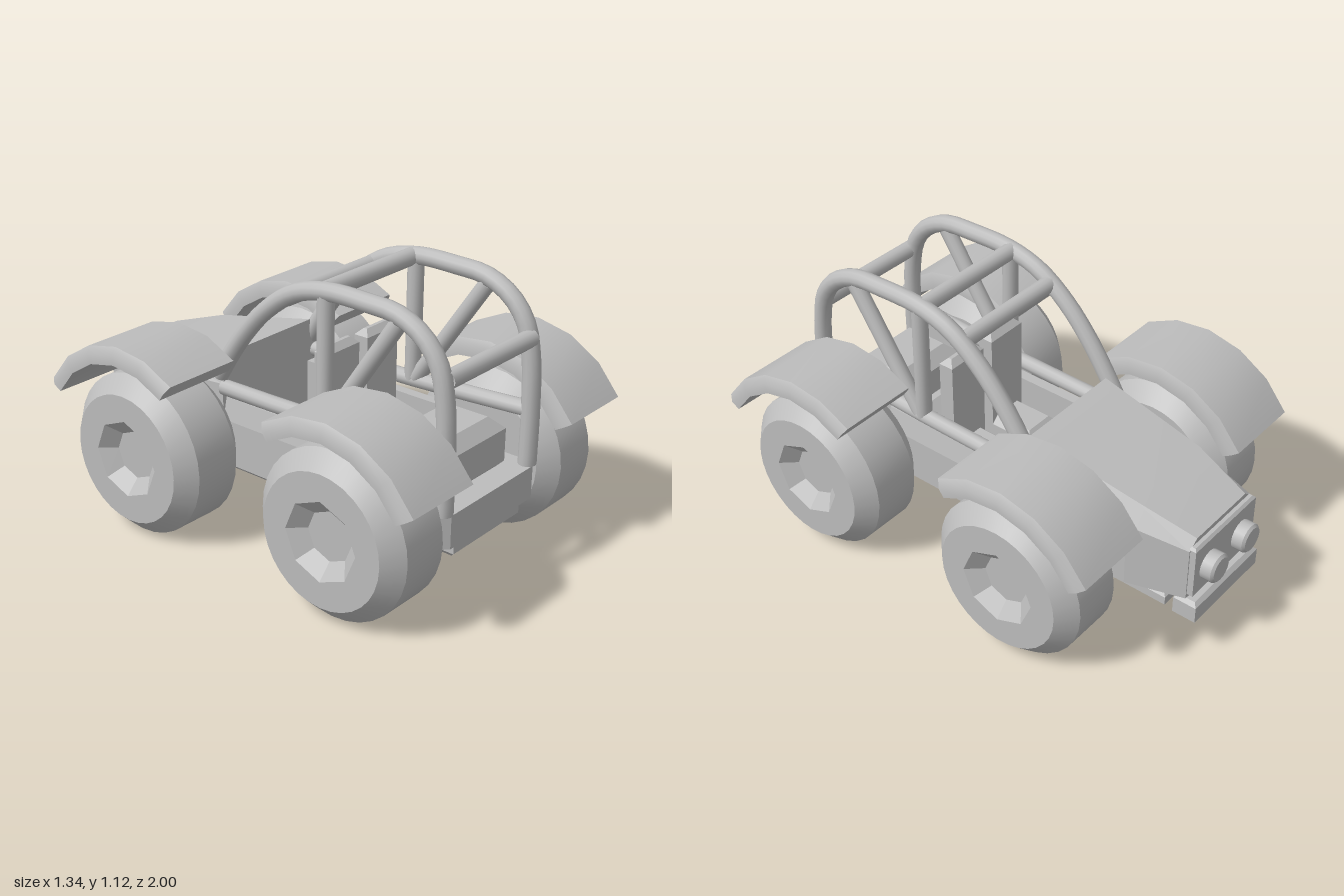
import * as THREE from 'three';
import { toCreasedNormals } from 'three/addons/utils/BufferGeometryUtils.js';

const bodyGrey = new THREE.MeshStandardMaterial({ color: 0xbcbcbc, side: THREE.DoubleSide });
bodyGrey.name = 'bodyGrey';

export function createModel() {
  const model = new THREE.Group();
  model.name = 'buggy';

  const add = (name, geo, parent = model, crease = 0.6) => {
    const mesh = new THREE.Mesh(toCreasedNormals(geo, crease), bodyGrey);
    mesh.name = name;
    parent.add(mesh);
    return mesh;
  };
  const shapeOf = (pts) => new THREE.Shape(pts.map(([x, y]) => new THREE.Vector2(x, y)));

  // Box with chamfered edges, placed by its limits
  const chamferBox = (name, [x0, x1], [y0, y1], [z0, z1], c) => {
    const a = (x1 - x0) / 2 - c, b = (z1 - z0) / 2 - c;
    const geo = new THREE.ExtrudeGeometry(shapeOf([[-a, -b], [a, -b], [a, b], [-a, b]]), {
      depth: y1 - y0 - 2 * c, bevelEnabled: true, bevelSize: c, bevelThickness: c, bevelSegments: 1,
    });
    geo.rotateX(-Math.PI / 2).translate((x0 + x1) / 2, y0 + c, (z0 + z1) / 2);
    return add(name, geo, model, 0.3);
  };
  // Box with chamfered upright corners only
  const cornerBox = (name, w, [y0, y1], [z0, z1], c) => {
    const pts = [[-w + c, z0], [w - c, z0], [w, z0 + c], [w, z1 - c], [w - c, z1], [-w + c, z1], [-w, z1 - c], [-w, z0 + c]];
    const geo = new THREE.ExtrudeGeometry(shapeOf(pts.map(([x, z]) => [x, -z])), { depth: y1 - y0, bevelEnabled: false });
    return add(name, geo.rotateX(-Math.PI / 2).translate(0, y0, 0), model, 0.3);
  };
  const tube = (name, pts, radius = 0.035, segments = 1) => {
    const curve = new THREE.CatmullRomCurve3(pts.map((p) => new THREE.Vector3(...p)), false, 'centripetal');
    return add(name, new THREE.TubeGeometry(curve, segments, radius, 12), model, 0.9);
  };

  // Chassis plate, tub floor, rear deck and engine
  chamferBox('chassisPlate', [-0.21, 0.21], [0.165, 0.25], [-0.835, 0.86], 0.025);
  add('tubFloor', new THREE.BoxGeometry(0.56, 0.05, 0.72).translate(0, 0.265, 0.14));
  cornerBox('rearDeck', 0.29, [0.24, 0.375], [0.47, 0.88], 0.03);
  const firewall = new THREE.ExtrudeGeometry(shapeOf([[-0.26, 0.26], [-0.5, 0.26], [-0.5, 0.43], [-0.47, 0.43]]), {
    depth: 0.45, bevelEnabled: false,
  });
  add('firewall', firewall.rotateY(Math.PI / 2).translate(-0.225, 0, 0), model, 0.3);

  const engine = chamferBox('engine', [-0.185, 0.185], [0.35, 0.585], [0.51, 0.8], 0.05);
  engine.geometry.computeBoundingBox();

  // Cockpit side walls
  for (const s of [-1, 1]) {
    const wall = new THREE.ExtrudeGeometry(
      shapeOf([[0.22, 0.24], [0.285, 0.24], [0.285, 0.43], [0.265, 0.52], [0.22, 0.52]].map(([x, y]) => [s * x, y])),
      { depth: 0.74, bevelEnabled: false });
    add('cockpitWall', wall.translate(0, 0, -0.25), model, 0.2);
  }

  // Bonnet lofted through six-sided sections: z, side half width, top half width, bottom, shoulder, top
  const sections = [
    [-0.21, 0.285, 0.235, 0.24, 0.58, 0.7],
    [-0.68, 0.26, 0.205, 0.25, 0.53, 0.61],
    [-0.92, 0.205, 0.16, 0.27, 0.5, 0.535],
  ];
  const pos = [], index = [];
  for (const [z, b, t, y0, y1, y2] of sections) {
    for (const [x, y] of [[b, y0], [b, y1], [t, y2], [-t, y2], [-b, y1], [-b, y0]]) pos.push(x, y, z);
  }
  for (let i = 0; i < 2; i++) {
    for (let j = 0; j < 6; j++) {
      const a = i * 6 + j, b = i * 6 + (j + 1) % 6;
      index.push(a, a + 6, b, b, a + 6, b + 6);
    }
  }
  for (let j = 1; j < 5; j++) index.push(0, j, j + 1, 12, 13 + j, 12 + j);
  const bonnet = new THREE.BufferGeometry();
  bonnet.setAttribute('position', new THREE.Float32BufferAttribute(pos, 3));
  bonnet.setIndex(index);
  add('bonnet', bonnet, model, 0.15);

  // Nose plate, headlights and front bumper
  chamferBox('nosePlate', [-0.2, 0.2], [0.28, 0.515], [-0.945, -0.91], 0.01);
  for (const s of [-1, 1]) {
    const lamp = new THREE.LatheGeometry(
      [[0, 0], [0.06, 0], [0.06, 0.055], [0.05, 0.065], [0, 0.065]].map((p) => new THREE.Vector2(...p)), 16);
    add('headlight', lamp.rotateX(-Math.PI / 2).translate(s * 0.105, 0.39, -0.935));
  }
  chamferBox('frontBumper', [-0.21, 0.21], [0.165, 0.265], [-0.97, -0.87], 0.015);

  // Seats
  for (const s of [-1, 1]) {
    const span = s > 0 ? [0.025, 0.21] : [-0.21, -0.025];
    chamferBox('seatCushion', span, [0.28, 0.43], [0, 0.23], 0.03);
    chamferBox('seatBack', span, [0.3, 0.828], [0.197, 0.262], 0.025);
  }

  // Roll cage
  const hoop = [[0.375, 0.85], [0.6, 0.85], [0.8, 0.84], [0.93, 0.81], [1.02, 0.74], [1.075, 0.63], [1.085, 0.5],
    [1.082, 0.3], [1.04, 0.15], [0.94, 0.01], [0.82, -0.1], [0.7, -0.185], [0.61, -0.24]];
  for (const s of [-1, 1]) {
    const x = s * 0.267;
    tube('cageHoop', hoop.map(([y, z]) => [x, y, z]), 0.036, 40);
    tube('cageLowerRail', [[x, 0.6, 0.85], [x, 0.57, 0.32], [x, 0.56, -0.22]], 0.032, 4);
    tube('cagePost', [[x, 0.57, 0.3], [x, 1.08, 0.3]], 0.033);
    tube('cageBrace', [[x, 1.05, 0.635], [x, 0.58, 0.32]], 0.033);
  }
  for (const [y, z] of [[0.885, 0.838], [1.08, 0.29], [1.005, 0.095]]) {
    tube('cageCrossBar', [[-0.26, y, z], [0.26, y, z]]);
  }

  // Wheel with a chamfered tyre and an octagonal hub recess, outer face towards +x
  const lathe = (pts, seg, start = 0, len = Math.PI * 2) =>
    new THREE.LatheGeometry(pts.map((p) => new THREE.Vector2(...p)), seg, start, len).rotateZ(-Math.PI / 2);
  const makeWheel = () => {
    const wheel = new THREE.Group();
    wheel.name = 'wheel';
    add('tyre', lathe([[0, 0.31], [0.265, 0.31], [0.332, 0.38], [0.332, 0.58], [0.265, 0.65]], 32), wheel);
    const face = new THREE.Shape().absarc(0, 0, 0.265, 0, Math.PI * 2);
    const octagon = [...Array(8).keys()].map((i) =>
      new THREE.Vector2(0.16 * Math.cos(i * Math.PI / 4), 0.16 * Math.sin(i * Math.PI / 4)));
    face.holes.push(new THREE.Path(octagon));
    add('tyreFace', new THREE.ShapeGeometry(face, 16).rotateY(Math.PI / 2).translate(0.65, 0, 0), wheel);
    add('hub', lathe([[0.16, 0.65], [0.1, 0.595], [0, 0.595]], 8), wheel, 0.3);
    return wheel;
  };

  // Fender arched over the wheel; angles in degrees from the top towards +z
  const profile = [[0.395, 0.3], [0.435, 0.3], [0.465, 0.315], [0.465, 0.65], [0.435, 0.67], [0.395, 0.67]];
  const makeFender = (from, to) => {
    const fender = new THREE.Group();
    fender.name = 'fender';
    const [p0, p1] = [from, to].map((a) => THREE.MathUtils.degToRad(a - 90));
    add('fenderArch', lathe([...profile, profile[0]], 5, p0, p1 - p0), fender);
    for (const p of [p0, p1]) {
      const cap = new THREE.ShapeGeometry(shapeOf(profile)).rotateY(p - Math.PI / 2).rotateZ(-Math.PI / 2);
      add('fenderEnd', cap, fender);
    }
    return fender;
  };

  // Four corners; the right side is turned half round
  for (const z of [0.6, -0.387]) {
    for (const s of [-1, 1]) {
      const corner = new THREE.Group();
      corner.name = (z > 0 ? 'rear' : 'front') + (s > 0 ? 'Left' : 'Right') + 'Corner';
      corner.add(makeWheel(), z * s > 0 ? makeFender(-35, 60) : makeFender(-60, 35));
      corner.position.set(0, 0.332, z);
      corner.rotation.y = s > 0 ? 0 : Math.PI;
      model.add(corner);
    }
  }
  return model;
}
